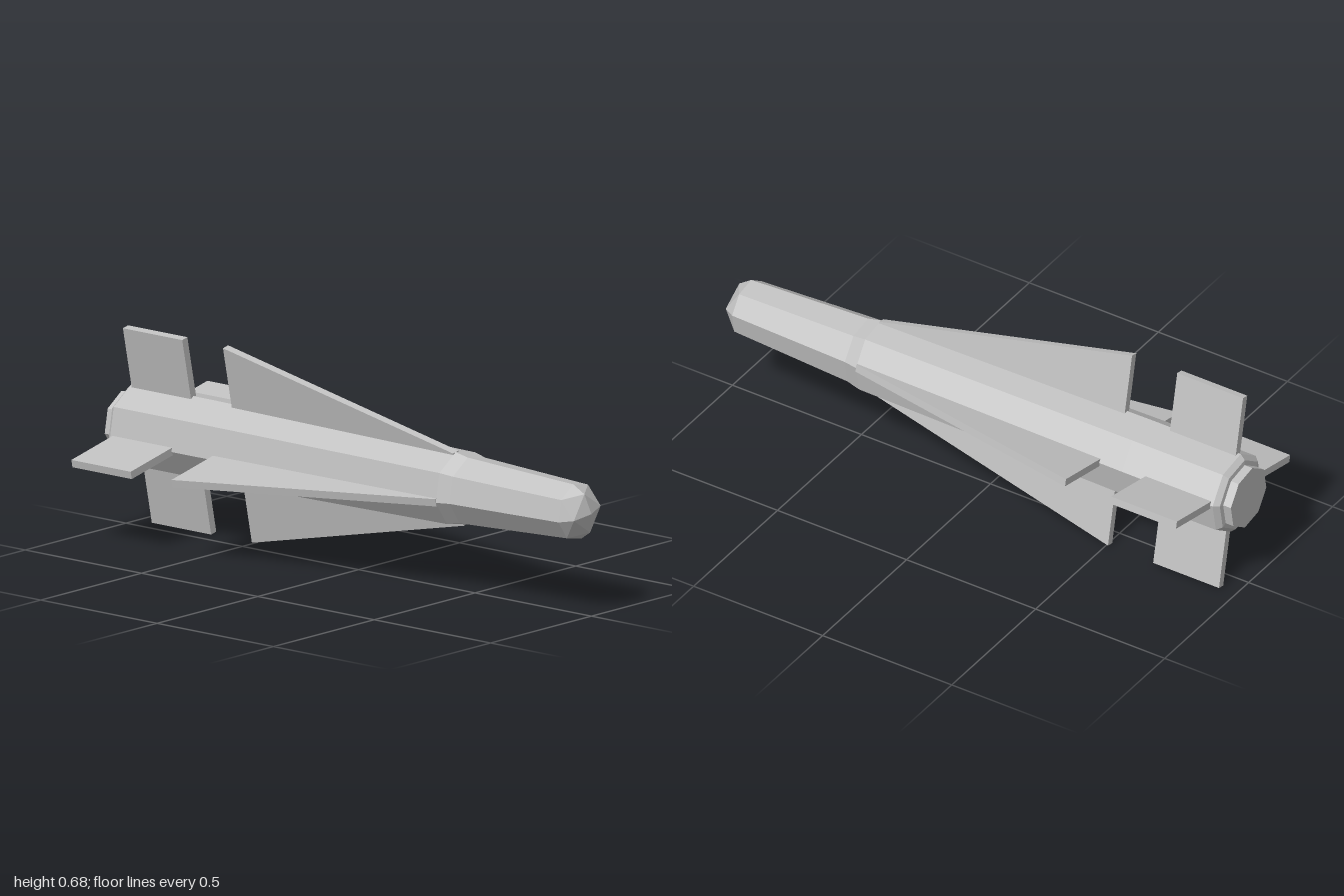
import * as THREE from 'three';

export function createModel() {
  const model = new THREE.Group();
  const grey = new THREE.MeshStandardMaterial({ color: 0xc0c0c0, flatShading: true });
  grey.name = 'light grey';

  // Everything is built round the x axis, then rolled slightly.
  const missile = new THREE.Group();
  missile.name = 'missile';
  missile.position.y = 0.34;
  missile.rotation.x = THREE.MathUtils.degToRad(12);
  model.add(missile);

  const add = (name, geometry, parent = missile) => {
    const mesh = new THREE.Mesh(geometry, grey);
    mesh.name = name;
    parent.add(mesh);
    return mesh;
  };

  // Eight-sided body with tail nozzle, chamfer and shoulder: [radius, x]
  const profile = [
    [0, -1], [0.108, -1], [0.108, -0.97], [0.125, -0.968], [0.141, -0.95],
    [0.141, -0.6], [0.128, 0.44], [0.117, 0.49], [0.096, 0.94],
  ].map(([r, x]) => new THREE.Vector2(r, x));
  add('body', new THREE.LatheGeometry(profile, 8).rotateZ(-Math.PI / 2));

  // Faceted nose, its rear half sits inside the body
  const nose = new THREE.OctahedronGeometry(1, 1);
  nose.scale(0.06, 0.096, 0.096).translate(0.94, 0, 0);
  add('nose', nose);

  // Flat fins from an outline in x and radius
  const thickness = 0.026;
  const plate = (outline) =>
    new THREE.ExtrudeGeometry(
      new THREE.Shape(outline.map(([x, r]) => new THREE.Vector2(x, r))),
      { depth: thickness, bevelEnabled: false },
    ).translate(0, 0, -thickness / 2);
  const tailFin = plate([[-0.94, 0.1], [-0.685, 0.1], [-0.685, 0.345], [-0.94, 0.345]]);
  const wing = plate([[-0.51, 0.1], [0.44, 0.1], [0.44, 0.128], [-0.51, 0.345]]);

  // Four wings and four tail fins in a cross
  for (let i = 0; i < 4; i++) {
    const angle = (i * Math.PI) / 2;
    add('wing', wing).rotation.x = angle;
    add('tailFin', tailFin).rotation.x = angle;
  }
  return model;
}
